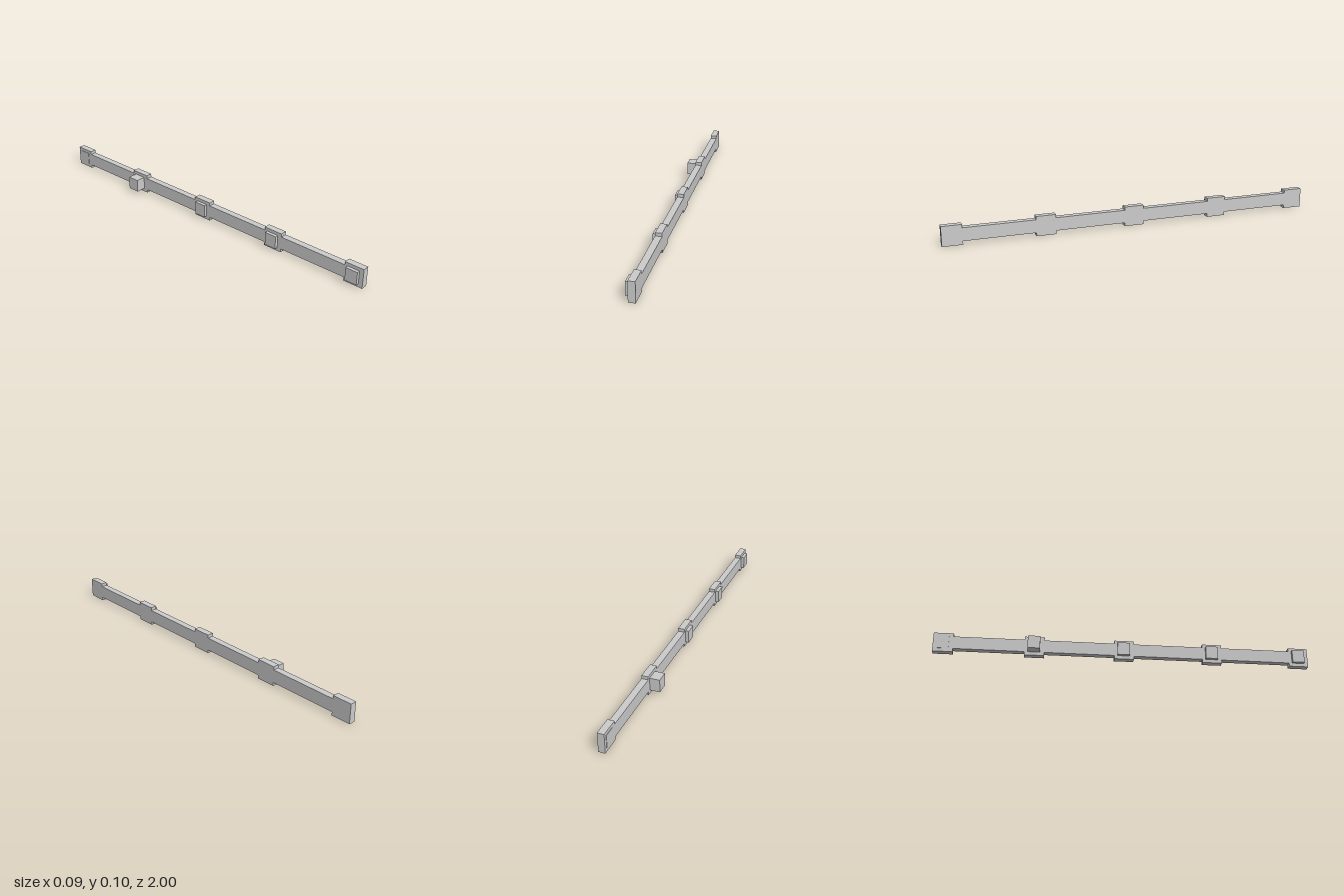
import * as THREE from 'three';

export function createModel() {
  const group = new THREE.Group();
  const material = new THREE.MeshStandardMaterial({ color: 0xcccccc, flatShading: true });
  const back = 0.009, front = 0.0435; // rail thickness along x
  const low = 0.0185, high = 0.0875, top = 0.105, half = 0.052;
  const centres = [-0.948, -0.474, 0, 0.474, 0.948];

  // Rail with five taller pads, drawn as one outline along its length
  const upper = [], lower = [];
  for (const c of centres) {
    const a = Math.max(-1, c - half), b = Math.min(1, c + half);
    if (a > -1) { upper.push([a, high]); lower.push([a, low]); }
    upper.push([a, top], [b, top]);
    lower.push([a, 0], [b, 0]);
    if (b < 1) { upper.push([b, high]); lower.push([b, low]); }
  }
  const outline = [...lower, ...upper.reverse()].map(([z, y]) => new THREE.Vector2(-z, y));
  const railGeometry = new THREE.ExtrudeGeometry(new THREE.Shape(outline), {
    depth: front - back, bevelEnabled: false,
  });
  railGeometry.rotateY(Math.PI / 2);
  railGeometry.translate(back, 0, 0);
  const rail = new THREE.Mesh(railGeometry, material);
  rail.name = 'rail';
  group.add(rail);

  // Mounting blocks on the -x side, one per pad, with differing depths
  const depths = [0.002, 0.0525, 0.0175, 0.0175, 0.0175];
  centres.forEach((c, i) => {
    const block = new THREE.Mesh(new THREE.BoxGeometry(depths[i], high - low, 0.065), material);
    block.position.set(back - depths[i] / 2, (low + high) / 2, c - 0.003);
    block.name = `mountingBlock${i + 1}`;
    group.add(block);
  });
  return group;
}
